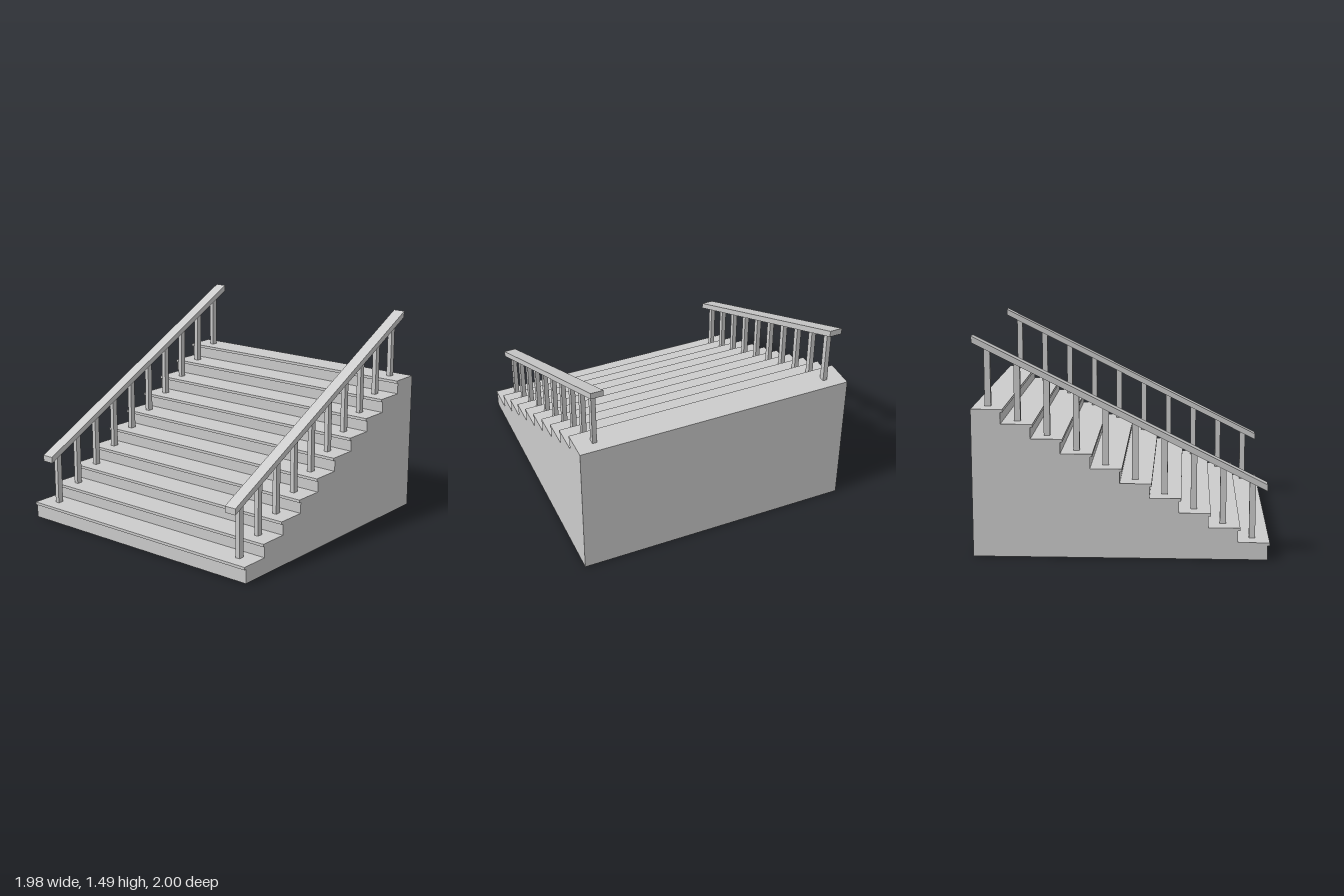
import * as THREE from 'three';

const STEPS = 10, WIDTH = 1.98;
const FRONT = 0.985, BACK = -1;
const RUN = (FRONT - BACK) / STEPS, RISE = 0.0993;
const TREAD = 0.02, NOSING = 0.015;
const RAIL_X = 0.857, RAIL_BASE = 0.452, RAIL_DEPTH = 0.045;

const material = new THREE.MeshStandardMaterial({ color: 0xcccccc, flatShading: true });

// Extrudes a side profile of [z, y] points across x, centred on x = 0.
function extrudeAcross(name, points, width) {
  const shape = new THREE.Shape(points.map(([z, y]) => new THREE.Vector2(-z, y)));
  const geometry = new THREE.ExtrudeGeometry(shape, { depth: width, bevelEnabled: false });
  geometry.translate(0, 0, -width / 2).rotateY(Math.PI / 2);
  const mesh = new THREE.Mesh(geometry, material);
  mesh.name = name;
  return mesh;
}

// Solid flight: each riser is topped by a tread with an overhanging nosing.
function createFlight() {
  const points = [[BACK, 0], [FRONT, 0]];
  for (let i = 0; i < STEPS; i++) {
    const z = FRONT - i * RUN, y = (i + 1) * RISE;
    points.push([z, y], [z + NOSING, y], [z + NOSING, y + TREAD], [z - RUN, y + TREAD]);
  }
  return extrudeAcross('steps', points, WIDTH);
}

// Sloping handrail with plumb-cut ends and one baluster per tread.
function createRailing(name, x) {
  const railing = new THREE.Group();
  railing.name = name;
  railing.position.x = x;

  const top = RAIL_BASE + STEPS * RISE;
  railing.add(extrudeAcross('handrail', [
    [FRONT, RAIL_BASE], [FRONT, RAIL_BASE + RAIL_DEPTH],
    [BACK, top + RAIL_DEPTH], [BACK, top],
  ], 0.088));

  for (let i = 0; i < STEPS; i++) {
    const foot = (i + 1) * RISE + TREAD;
    const head = RAIL_BASE + (i + 0.5) * RISE + 0.015; // let into the rail
    const baluster = new THREE.Mesh(new THREE.BoxGeometry(0.032, head - foot, 0.042), material);
    baluster.name = 'baluster' + (i + 1);
    baluster.position.set(0, (foot + head) / 2, FRONT - (i + 0.5) * RUN);
    railing.add(baluster);
  }
  return railing;
}

export function createModel() {
  const model = new THREE.Group();
  model.name = 'staircase';
  model.add(
    createFlight(),
    createRailing('leftRailing', RAIL_X),
    createRailing('rightRailing', -RAIL_X),
  );
  return model;
}
